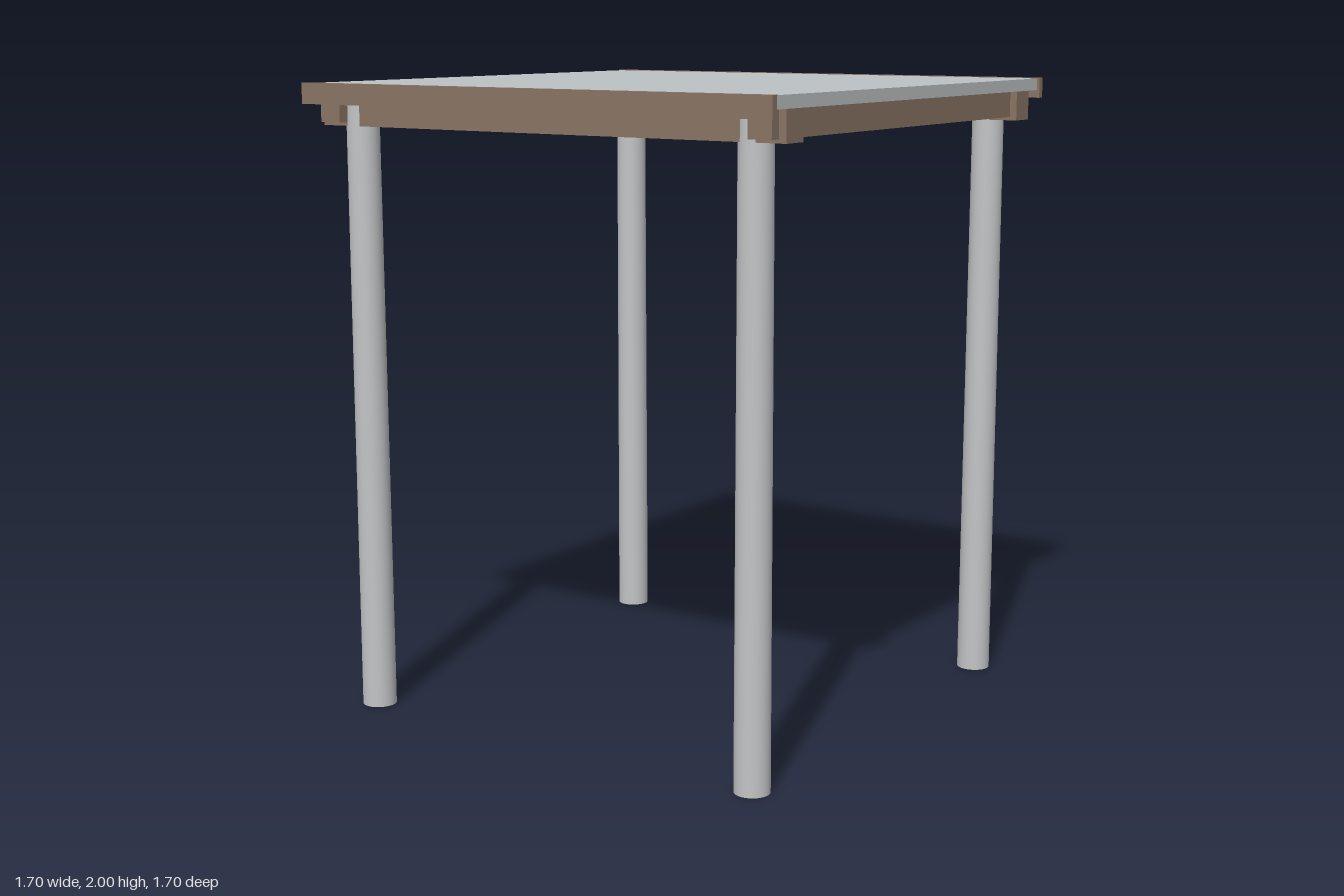
import * as THREE from 'three';

export function createModel() {
  const group = new THREE.Group();
  const wood = new THREE.MeshStandardMaterial({ color: 0x8a7464 });
  wood.name = 'brown wood';
  const sheet = new THREE.MeshStandardMaterial({ color: 0xbcc2c4 });
  sheet.name = 'roof grey';
  const metal = new THREE.MeshStandardMaterial({ color: 0xc2c4c6 });
  metal.name = 'post grey';

  // Box given by its limits on each axis
  function box(name, material, [x0, x1], [y0, y1], [z0, z1]) {
    const mesh = new THREE.Mesh(new THREE.BoxGeometry(x1 - x0, y1 - y0, z1 - z0), material);
    mesh.position.set((x0 + x1) / 2, (y0 + y1) / 2, (z0 + z1) / 2);
    mesh.name = name;
    group.add(mesh);
  }
  const span = (s, a, b) => (s > 0 ? [a, b] : [-b, -a]);

  // Flat roof panel
  box('roofPanel', sheet, [-0.84, 0.84], [1.96, 1.998], [-0.825, 0.825]);

  for (const s of [1, -1]) {
    const end = s > 0 ? 'front' : 'back';
    const side = s > 0 ? 'left' : 'right';
    // Fascia boards on the front and back edges
    box(end + 'Fascia', wood, [-0.849, 0.849], [1.935, 2], span(s, 0.825, 0.848));
    // Cross beams over the posts
    box(end + 'Beam', wood, [-0.84, 0.84], [1.867, 1.96], span(s, 0.673, 0.762));
    // Side beams running front to back
    box(side + 'Beam', wood, span(s, 0.74, 0.817), [1.878, 1.96], [-0.799, 0.799]);
  }

  // Round posts, slightly thicker at the foot with the outer faces upright
  const height = 1.96, topR = 0.051, footR = 0.054;
  for (const sx of [1, -1]) for (const sz of [1, -1]) {
    const geo = new THREE.CylinderGeometry(topR, footR, height, 32);
    geo.translate(0, height / 2, 0);
    const p = geo.attributes.position;
    for (let i = 0; i < p.count; i++) {
      const lean = (footR - topR) * (1 - p.getY(i) / height);
      p.setX(i, p.getX(i) - sx * lean);
      p.setZ(i, p.getZ(i) - sz * lean);
    }
    const post = new THREE.Mesh(geo, metal);
    post.position.set(sx * 0.718, 0, sz * 0.718);
    post.name = (sz > 0 ? 'front' : 'back') + (sx > 0 ? 'Left' : 'Right') + 'Post';
    group.add(post);
  }
  return group;
}
